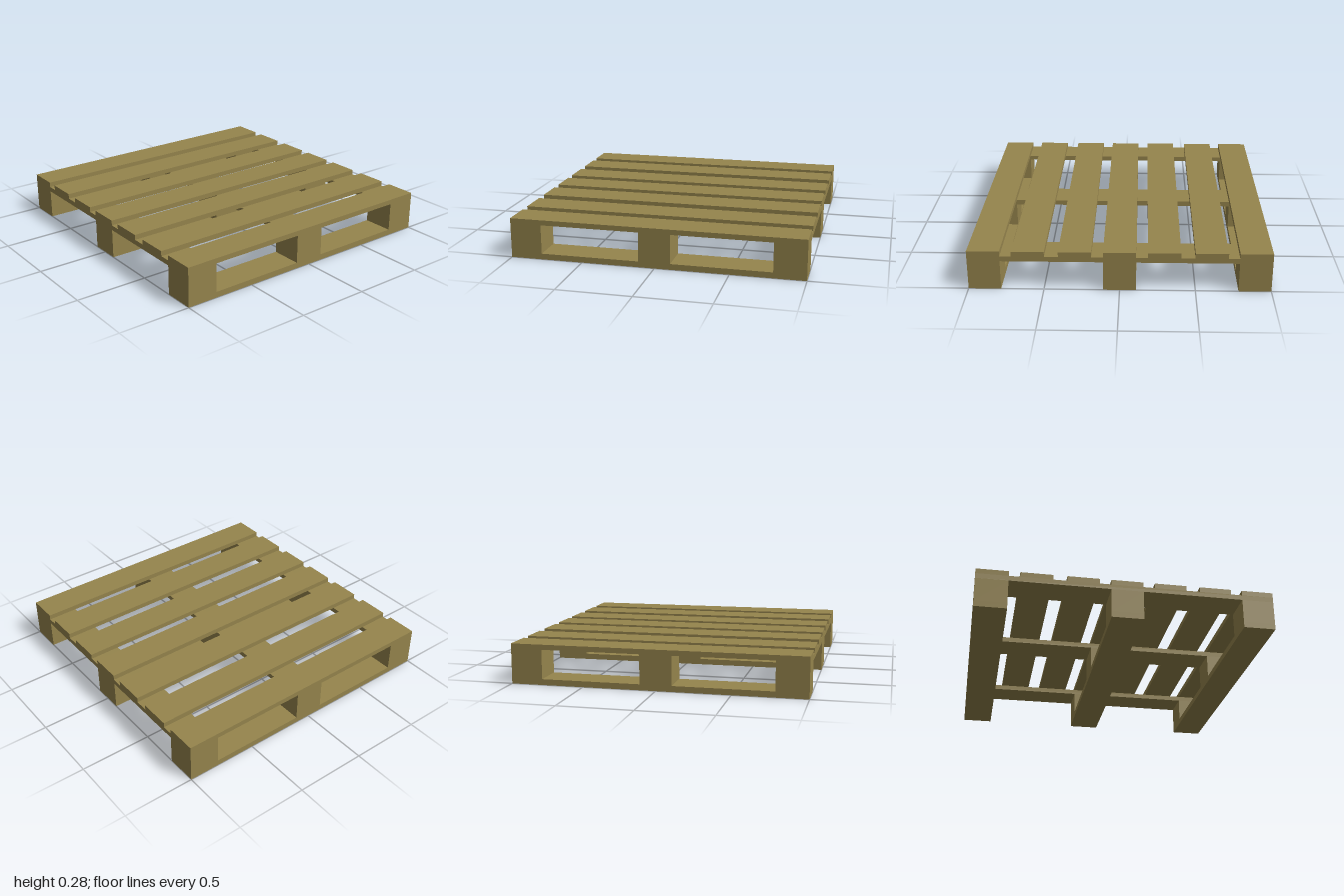
import * as THREE from 'three';

export function createModel() {
  const pallet = new THREE.Group();
  pallet.name = 'pallet';
  const wood = new THREE.MeshStandardMaterial({ color: 0x96854d, flatShading: true });

  // Layer heights: runners, blocks, cross boards, deck slats
  const Y = [0, 0.04, 0.205, 0.24, 0.275];
  const width = 0.216;
  const rows = [-0.892, 0, 0.892];

  // Box filling one layer, centred on x and z
  function board(name, layer, x, z, w, d) {
    const h = Y[layer + 1] - Y[layer];
    const mesh = new THREE.Mesh(new THREE.BoxGeometry(w, h, d), wood);
    mesh.name = name;
    mesh.position.set(x, Y[layer] + h / 2, z);
    pallet.add(mesh);
  }

  for (const p of rows) {
    board('bottomRunner', 0, p, 0, width, 2);
    for (const z of rows) board('spacerBlock', 1, p, z, width, width);
    board('crossBoard', 2, 0, p, 2, width);
  }

  // Seven deck slats running front to back
  for (const x of [-0.892, -0.602, -0.293, 0, 0.293, 0.6, 0.892]) {
    board('deckSlat', 3, x, 0, width, 2);
  }
  return pallet;
}
